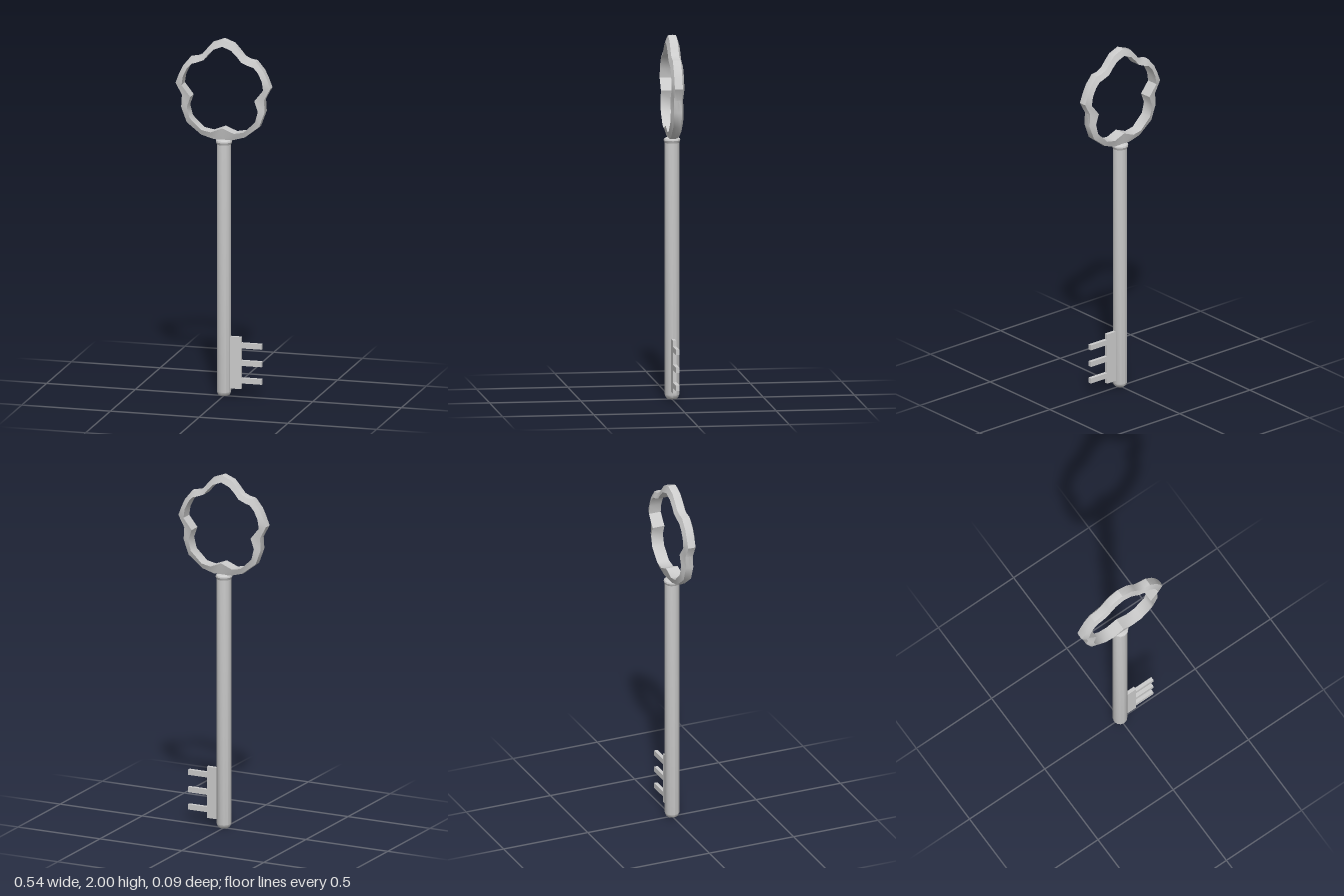
import * as THREE from 'three';
import { toCreasedNormals } from 'three/addons/utils/BufferGeometryUtils.js';

const material = new THREE.MeshStandardMaterial({ color: 0xcccccc });

function addMesh(parent, name, geometry, x = 0, y = 0, z = 0) {
  const mesh = new THREE.Mesh(geometry, material);
  mesh.name = name;
  mesh.position.set(x, y, z);
  parent.add(mesh);
  return mesh;
}

// Half of the five-lobed bow, top to bottom: outer x, y, inner x, y
const BOW_HALF = [
  [0, 2, 0, 1.96], [0.06, 1.977, 0.05, 1.94], [0.09, 1.943, 0.082, 1.908],
  [0.12, 1.907, 0.106, 1.878], [0.15, 1.893, 0.145, 1.862], [0.185, 1.888, 0.175, 1.853],
  [0.228, 1.836, 0.2, 1.825], [0.25, 1.79, 0.222, 1.78], [0.27, 1.74, 0.23, 1.73],
  [0.235, 1.673, 0.18, 1.667], [0.238, 1.605, 0.2, 1.61], [0.206, 1.52, 0.185, 1.55],
  [0.122, 1.455, 0.12, 1.487], [0.05, 1.434, 0.065, 1.477], [0, 1.432, 0, 1.503],
];

// Cross-section of the bow: share of the way from outer to inner edge, z
const BOW_SECTION = [[0, 0], [0.07, 0.022], [1, 0.035], [1, -0.035], [0.07, -0.022]];

function bowGeometry() {
  const mirrored = BOW_HALF.slice(1, -1).reverse().map(([ox, oy, ix, iy]) => [-ox, oy, -ix, iy]);
  const loop = [...BOW_HALF, ...mirrored];
  const n = loop.length, m = BOW_SECTION.length;
  const positions = [], indices = [];
  loop.forEach(([ox, oy, ix, iy], k) => {
    BOW_SECTION.forEach(([t, z], j) => {
      positions.push(ox + (ix - ox) * t, oy + (iy - oy) * t, z);
      const k2 = (k + 1) % n, j2 = (j + 1) % m;
      const a = k * m + j, b = k * m + j2, c = k2 * m + j2, d = k2 * m + j;
      indices.push(a, b, d, b, c, d);
    });
  });
  const geometry = new THREE.BufferGeometry();
  geometry.setAttribute('position', new THREE.Float32BufferAttribute(positions, 3));
  geometry.setIndex(indices);
  return toCreasedNormals(geometry, 0.6);
}

function lathe(profile) {
  const points = profile.map(([r, y]) => new THREE.Vector2(r, y));
  return toCreasedNormals(new THREE.LatheGeometry(points, 12), 0.6);
}

export function createModel() {
  const key = new THREE.Group();
  key.name = 'key';

  addMesh(key, 'bow', bowGeometry());

  // Round shaft with a blunt tip
  addMesh(key, 'shaft', lathe([
    [0, 0], [0.024, 0.002], [0.034, 0.01], [0.04, 0.025], [0.04, 1.41], [0, 1.41],
  ]));

  // Collar between shaft and bow
  addMesh(key, 'collar', lathe([
    [0, 1.405], [0.04, 1.408], [0.046, 1.422], [0.044, 1.43], [0.03, 1.438], [0, 1.438],
  ]));

  // Bit: a flat plate with three teeth
  const bit = new THREE.Group();
  bit.name = 'bit';
  key.add(bit);
  addMesh(bit, 'bitPlate', new THREE.BoxGeometry(0.07, 0.29, 0.02), 0.065, 0.19, 0);
  for (const y of [0.092, 0.19, 0.288]) {
    addMesh(bit, 'tooth', new THREE.BoxGeometry(0.12, 0.03, 0.02), 0.155, y, 0);
  }

  return key;
}
